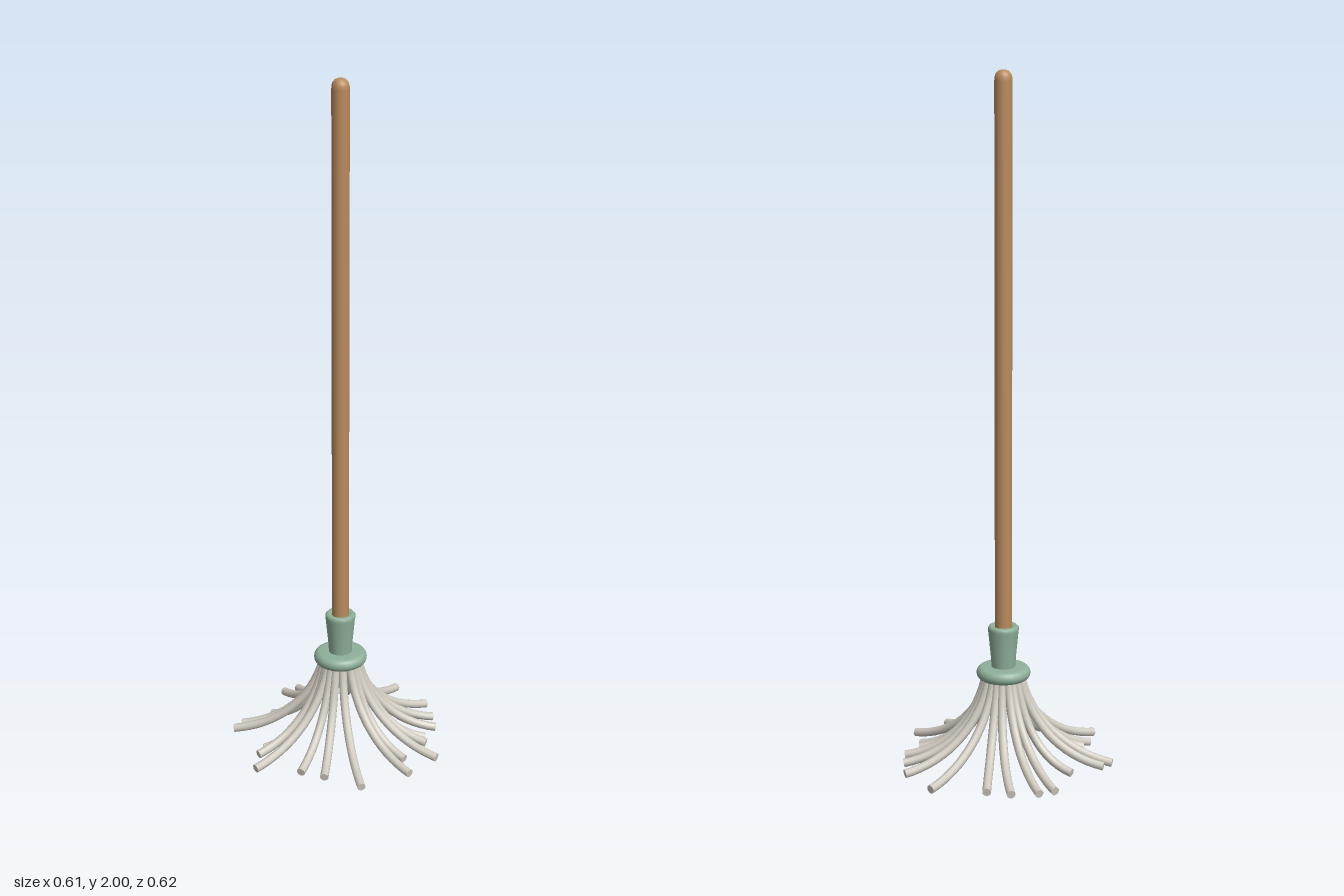
import * as THREE from 'three';
import { mergeGeometries } from 'three/addons/utils/BufferGeometryUtils.js';

const material = (name, color, side = THREE.FrontSide) => {
  const m = new THREE.MeshStandardMaterial({ color, side });
  m.name = name;
  return m;
};

// Surface of revolution from [radius, height] pairs
const lathe = (name, profile, sides, mat) => {
  const points = profile.map(([r, y]) => new THREE.Vector2(r, y));
  const mesh = new THREE.Mesh(new THREE.LatheGeometry(points, sides), mat);
  mesh.name = name;
  return mesh;
};

// Point at an angle (degrees, from +x towards +z), radius and height
const polar = (deg, r, y) => {
  const a = THREE.MathUtils.degToRad(deg);
  return new THREE.Vector3(Math.cos(a) * r, y, Math.sin(a) * r);
};

// A cord that drops from the collar and sweeps outward to its tip
function strandGeometry(startDeg, endDeg, reach) {
  const radius = 0.0125;
  const curve = new THREE.CubicBezierCurve3(
    polar(startDeg, 0.05, 0.27),
    polar(startDeg, 0.073, 0.15),
    polar(startDeg * 0.6 + endDeg * 0.4, reach * 0.52, 0.04),
    polar(endDeg, reach, 0.016)
  );
  const tube = new THREE.TubeGeometry(curve, 16, radius, 10);
  const cap = new THREE.CircleGeometry(radius, 10);
  const turn = new THREE.Quaternion().setFromUnitVectors(new THREE.Vector3(0, 0, 1), curve.getTangent(1));
  cap.applyQuaternion(turn);
  const tip = curve.getPoint(1);
  cap.translate(tip.x, tip.y, tip.z);
  return mergeGeometries([tube, cap]);
}

// Each strand: angle at the collar, angle at the tip, reach
const STRANDS = [
  [3, 7, 0.288], [18, 27, 0.263], [32, 20, 0.255], [41, 41, 0.321],
  [54, 53, 0.246], [71, 63, 0.314], [96, 92, 0.321], [118, 113, 0.266],
  [134, 129, 0.261], [148, 152, 0.327], [157, 170, 0.245], [171, 164, 0.276],
  [192, 197, 0.321], [208, 203, 0.302], [229, 221, 0.238], [248, 248, 0.306],
  [261, 257, 0.304], [281, 272, 0.293], [297, 286, 0.279], [311, 315, 0.328],
  [332, 339.5, 0.316], [345, 354.5, 0.296]
];

export function createModel() {
  const wood = material('wood', 0xb98b5e);
  const green = material('green plastic', 0x8fb09a);
  const cotton = material('cotton', 0xd0cbc0, THREE.DoubleSide);

  const model = new THREE.Group();
  model.name = 'mop';
  const mop = new THREE.Group();
  mop.name = 'mopBody';
  mop.position.set(0.005, 0, -0.0125);
  model.add(mop);

  // Round handle with a domed end
  mop.add(lathe('handle', [
    [0.025, 0.29], [0.025, 1.1], [0.025, 1.97], [0.0245, 1.98], [0.0215, 1.989],
    [0.016, 1.996], [0.008, 1.9993], [0, 2]
  ], 20, wood));

  // Flared socket with a rounded lip
  mop.add(lathe('socket', [
    [0.034, 0.28], [0.0365, 0.32], [0.041, 0.365], [0.044, 0.396], [0.0455, 0.405],
    [0.0445, 0.411], [0.041, 0.415], [0.034, 0.416], [0.029, 0.413], [0.024, 0.411]
  ], 12, green));

  // Rounded collar holding the strands
  const collar = [[0, 0.255]];
  for (let i = 0; i <= 8; i++) {
    const a = -Math.PI / 2 + (Math.PI * i) / 8;
    collar.push([0.061 + 0.0175 * Math.cos(a), 0.2735 + 0.0185 * Math.sin(a)]);
  }
  collar.push([0.03, 0.292]);
  mop.add(lathe('collar', collar, 32, green));

  // Splayed strands
  const strands = new THREE.Group();
  strands.name = 'strands';
  for (const s of STRANDS) {
    const strand = new THREE.Mesh(strandGeometry(...s), cotton);
    strand.name = 'strand';
    strands.add(strand);
  }
  mop.add(strands);

  return model;
}
